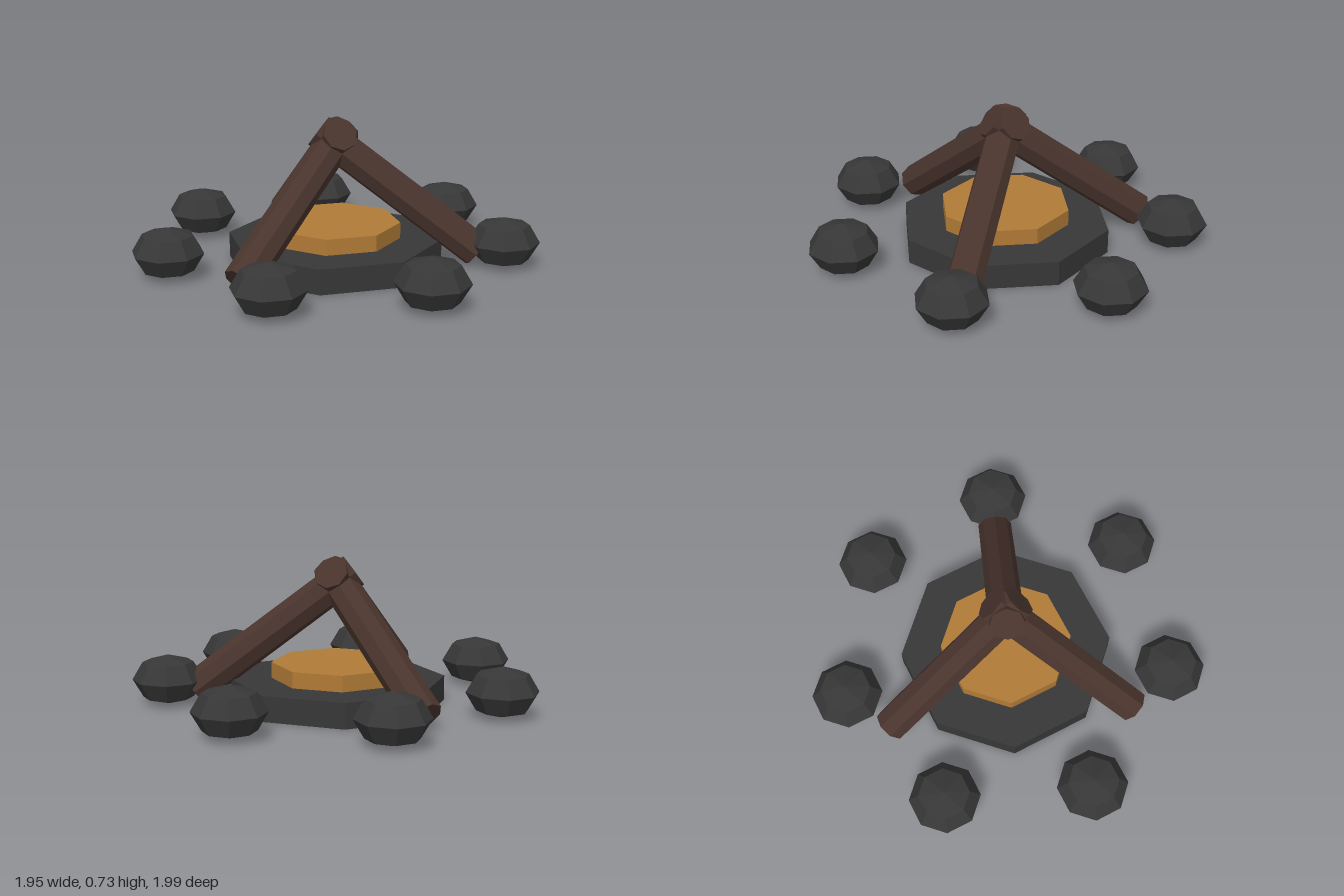
import * as THREE from 'three';

const material = (name, color) => {
  const m = new THREE.MeshStandardMaterial({ color, flatShading: true });
  m.name = name;
  return m;
};

export function createModel() {
  const ash = material('charcoal grey', 0x373737);
  const ember = material('ember orange', 0xb07a36);
  const bark = material('dark bark', 0x49342d);

  const model = new THREE.Group();
  model.name = 'campfire';
  const fire = new THREE.Group();
  fire.name = 'firePit';
  fire.position.x = -0.04;
  model.add(fire);

  const add = (name, geometry, mat, x, y, z, parent = fire) => {
    const mesh = new THREE.Mesh(geometry, mat);
    mesh.name = name;
    mesh.position.set(x, y, z);
    parent.add(mesh);
    return mesh;
  };

  // Octagonal ash bed with a raised ember slab
  add('ashBed', new THREE.CylinderGeometry(0.535, 0.535, 0.125, 8), ash, 0, 0.0625, 0);
  add('emberBed', new THREE.CylinderGeometry(0.33, 0.33, 0.105, 8), ember, 0, 0.1525, 0);

  // Ring of seven squashed stones, all facing the same way
  const stone = new THREE.SphereGeometry(0.177, 8, 4).scale(1, 0.7, 1);
  for (let i = 0; i < 7; i++) {
    const a = (i / 7) * Math.PI * 2;
    add('stone', stone, ash, 0.84 * Math.cos(a), 0.126, 0.84 * Math.sin(a));
  }

  // Three logs leaning together, crossing just past the centre
  const foot = new THREE.Vector2(0.709, 0.076);
  const tip = new THREE.Vector2(-0.077, 0.66);
  const along = tip.clone().sub(foot);
  const log = new THREE.CylinderGeometry(0.087, 0.087, along.length(), 8);
  for (let i = 0; i < 3; i++) {
    const arm = new THREE.Group();
    arm.name = 'leaningLog';
    arm.rotation.y = (i / 3) * Math.PI * 2;
    fire.add(arm);
    const mesh = add('log', log, bark, (foot.x + tip.x) / 2, (foot.y + tip.y) / 2, 0, arm);
    mesh.rotation.z = along.angle() - Math.PI / 2;
  }
  return model;
}
